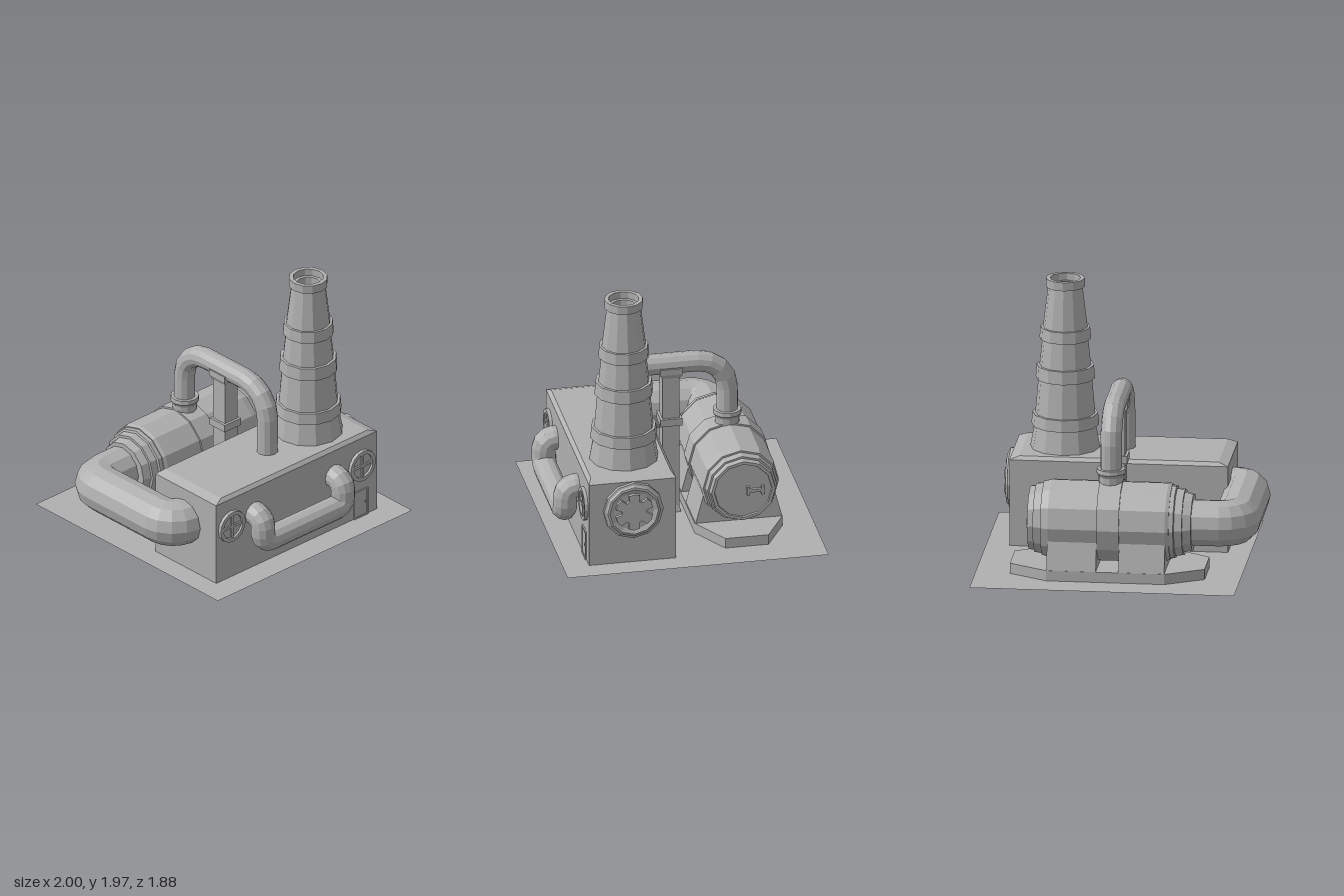
import * as THREE from 'three';

const steel = new THREE.MeshStandardMaterial({ color: 0xb0b0b0, flatShading: true, side: THREE.DoubleSide });
steel.name = 'grey steel';

// Polyline whose vertices become the rings of a tube
class RingPath extends THREE.Curve {
  constructor(points) { super(); this.points = points; }
  getPoint(u, target = new THREE.Vector3()) {
    const p = this.points, f = u * (p.length - 1), i = Math.min(Math.floor(f + 1e-6), p.length - 2);
    return target.lerpVectors(p[i], p[i + 1], f - i);
  }
  getPointAt(u, target) { return this.getPoint(u, target); }
  getTangentAt(u, target = new THREE.Vector3()) {
    const p = this.points, i = Math.round(u * (p.length - 1));
    const dir = (a, b) => p[b].clone().sub(p[a]).normalize();
    target.set(0, 0, 0);
    if (i > 0) target.add(dir(i - 1, i));
    if (i < p.length - 1) target.add(dir(i, i + 1));
    return target.normalize();
  }
}

// Pipe through right-angled corners, each rounded by an arc
function pipeGeometry(corners, radius, bend, steps = 4, sides = 12) {
  const c = corners.map(p => new THREE.Vector3(...p)), path = [c[0]];
  for (let i = 1; i < c.length - 1; i++) {
    const d1 = c[i].clone().sub(c[i - 1]).normalize(), d2 = c[i + 1].clone().sub(c[i]).normalize();
    const centre = c[i].clone().addScaledVector(d1, -bend).addScaledVector(d2, bend);
    for (let k = 0; k <= steps; k++) {
      const t = k / steps * Math.PI / 2;
      path.push(centre.clone().addScaledVector(d2, -bend * Math.cos(t)).addScaledVector(d1, bend * Math.sin(t)));
    }
  }
  path.push(c[c.length - 1]);
  return new THREE.TubeGeometry(new RingPath(path), path.length - 1, radius, sides, false);
}

const lathe = (profile, sides = 12) =>
  new THREE.LatheGeometry(profile.map(([r, y]) => new THREE.Vector2(r, y)), sides);
const polygon = pts => new THREE.Shape(pts.map(([x, y]) => new THREE.Vector2(x, y)));
const extrude = (shape, depth, curveSegments = 4) =>
  new THREE.ExtrudeGeometry(shape, { depth, bevelEnabled: false, curveSegments });

export function createModel() {
  const model = new THREE.Group();
  model.name = 'boilerPlant';
  const add = (name, geometry, x = 0, y = 0, z = 0, parent = model) => {
    const mesh = new THREE.Mesh(geometry, steel);
    mesh.name = name;
    mesh.position.set(x, y, z);
    parent.add(mesh);
    return mesh;
  };
  const box = (name, w, h, d, x, y, z, parent) => add(name, new THREE.BoxGeometry(w, h, d), x, y, z, parent);

  // Ground sheet
  add('ground', new THREE.PlaneGeometry(1.875, 1.875).rotateX(-Math.PI / 2), 0.057, 0.08, 0);

  // Main building with a shallow bevelled roof edge
  const hall = new THREE.BoxGeometry(1.55, 0.655, 0.625, 1, 2, 1);
  const hp = hall.attributes.position;
  for (let i = 0; i < hp.count; i++) {
    if (Math.abs(hp.getY(i)) < 0.01) hp.setY(i, 0.302);
    else if (hp.getY(i) > 0) hp.setXYZ(i, hp.getX(i) * 0.91, hp.getY(i), hp.getZ(i) * 0.92);
  }
  add('hall', hall, 0.055, 0.4075, 0.4375);

  // Chimney with hoops and a hollow mouth
  add('chimney', lathe([
    [0.248, 0.73], [0.218, 0.9], [0.24, 0.9], [0.232, 0.985], [0.212, 0.985],
    [0.19, 1.24], [0.21, 1.24], [0.203, 1.335], [0.182, 1.335],
    [0.162, 1.53], [0.183, 1.53], [0.176, 1.615], [0.158, 1.615],
    [0.122, 1.91], [0.138, 1.91], [0.138, 1.972], [0.108, 1.972], [0.108, 1.92], [0.085, 1.92], [0.085, 1.8], [0, 1.8],
  ]), 0.467, 0, 0.43);

  // Round windows with crossed bars
  for (const x of [-0.58, 0.677]) {
    const win = new THREE.Group();
    win.name = 'roundWindow';
    win.position.set(x, 0.495, 0.75);
    model.add(win);
    const ring = new THREE.Shape().absarc(0, 0, 0.12, 0, Math.PI * 2);
    ring.holes.push(new THREE.Path().absarc(0, 0, 0.092, 0, Math.PI * 2, true));
    add('windowFrame', extrude(ring, 0.025, 8), 0, 0, 0, win);
    add('windowPane', new THREE.CircleGeometry(0.095, 16), 0, 0, 0.008, win);
    box('windowBar', 0.02, 0.186, 0.02, 0, 0, 0.01, win);
    box('windowBar', 0.186, 0.02, 0.02, 0, 0, 0.01, win);
  }

  // Door with frame and knob
  const frame = polygon([[0.605, 0.08], [0.74, 0.08], [0.74, 0.295], [0.605, 0.295]]);
  frame.holes.push(polygon([[0.617, 0.09], [0.617, 0.284], [0.728, 0.284], [0.728, 0.09]]));
  add('doorFrame', extrude(frame, 0.012), 0, 0, 0.748);
  box('door', 0.112, 0.196, 0.008, 0.6725, 0.186, 0.75);
  box('doorKnob', 0.01, 0.016, 0.012, 0.715, 0.19, 0.757);

  // Looped pipe across the front wall
  add('frontPipe', pipeGeometry([
    [-0.352, 0.51, 0.73], [-0.352, 0.51, 0.84], [-0.352, 0.315, 0.84],
    [0.418, 0.315, 0.84], [0.418, 0.51, 0.84], [0.418, 0.51, 0.73],
  ], 0.087, 0.07, 3));

  // Side vent: stepped ring with a six-toothed rotor
  add('ventRing', lathe([[0.215, 0], [0.215, 0.025], [0.2, 0.03], [0.19, 0.042], [0.175, 0.045], [0.145, 0.03], [0, 0.03]])
    .rotateZ(-Math.PI / 2), 0.83, 0.492, 0.435);
  const teeth = [];
  for (let i = 0; i < 6; i++) {
    for (const [offset, r] of [[-0.3, 0.135], [0, 0.14], [0.3, 0.135], [0.38, 0.09], [0.67, 0.09]]) {
      const a = (i + 0.5) * Math.PI / 3 + offset;
      teeth.push([r * Math.cos(a), r * Math.sin(a)]);
    }
  }
  add('ventRotor', extrude(polygon(teeth), 0.03).rotateY(Math.PI / 2), 0.855, 0.492, 0.435);

  // Horizontal tank with stepped ends
  add('tank', lathe([
    [0, -0.535], [0.205, -0.535], [0.22, -0.475], [0.24, -0.475], [0.245, -0.42], [0.262, -0.415],
    [0.264, -0.385], [0.272, -0.385], [0.283, -0.36], [0.283, 0.47], [0.27, 0.525], [0.257, 0.525],
    [0.25, 0.58], [0.236, 0.58], [0.23, 0.622], [0.208, 0.622], [0.204, 0.61], [0, 0.61],
  ]).rotateZ(-Math.PI / 2), 0, 0.452, -0.4);
  add('tankBand', lathe([[0.28, -0.08], [0.296, -0.08], [0.296, 0.08], [0.28, 0.08]])
    .rotateZ(-Math.PI / 2), 0.045, 0.452, -0.4);

  // Hatch handle on the tank end
  box('hatchHandle', 0.022, 0.022, 0.1, 0.622, 0.45, -0.487);
  for (const z of [-0.435, -0.54]) box('hatchHandleEnd', 0.022, 0.065, 0.022, 0.622, 0.45, z);

  // Tank plinth and saddles
  const plinth = polygon([[-0.63, 0.245], [-0.36, 0.08], [0.475, 0.08], [0.75, 0.245],
    [0.75, 0.555], [0.475, 0.71], [-0.36, 0.71], [-0.63, 0.555]]);
  add('plinth', extrude(plinth, 0.095).rotateX(-Math.PI / 2), 0, 0.06, 0);
  const saddle = polygon([[-0.312, 0.15], [0.312, 0.15], [0.255, 0.37], [-0.255, 0.37]]);
  for (const [x, width] of [[-0.36, 0.325], [0.125, 0.35]])
    add('saddle', extrude(saddle, width).rotateY(Math.PI / 2), x, 0, -0.397);

  // Large pipe linking the tank end and the hall
  add('sidePipe', pipeGeometry([
    [-0.5, 0.455, -0.415], [-0.835, 0.455, -0.415], [-0.835, 0.455, 0.42], [-0.7, 0.455, 0.42],
  ], 0.167, 0.12, 4));

  // Overhead pipe from the tank to the hall roof
  add('overheadPipe', pipeGeometry([
    [0.05, 0.7, -0.398], [0.05, 1.22, -0.398], [0.05, 1.22, 0.455], [0.05, 0.72, 0.455],
  ], 0.076, 0.22, 4));
  add('pipeCollar', lathe([[0.088, 0.68], [0.088, 0.775], [0.104, 0.8], [0.1, 0.83], [0.075, 0.83]]), 0.05, 0, -0.398);

  // Support post with flared foot, clamp and cradle
  const square = profile => lathe(profile.map(([h, y]) => [h * Math.SQRT2, y]), 4).rotateY(Math.PI / 4);
  add('post', square([[0, 0], [0.09, 0], [0.06, 0.125], [0.06, 1.16], [0, 1.16]]), 0.052, 0, 0.018);
  box('postClamp', 0.156, 0.055, 0.156, 0.052, 0.788, 0.018);
  add('pipeCradle', square([[0, 1.13], [0.062, 1.13], [0.082, 1.165], [0.082, 1.21], [0, 1.21]]), 0.052, 0, 0.018);

  return model;
}
